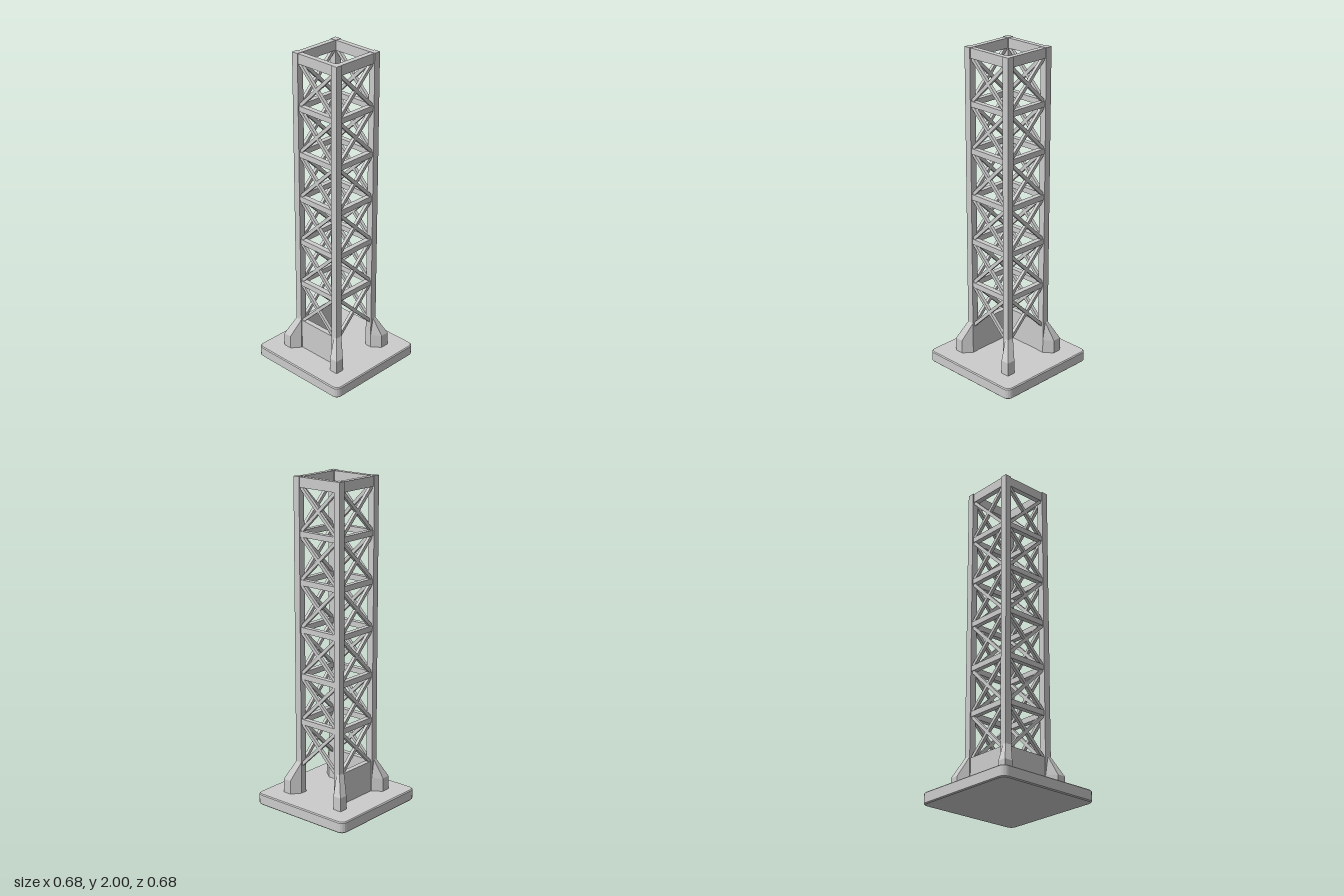
import * as THREE from 'three';

const material = new THREE.MeshStandardMaterial({ color: 0xcccccc, flatShading: true });

function add(parent, geometry, name, x = 0, y = 0, z = 0) {
  const mesh = new THREE.Mesh(geometry, material);
  mesh.name = name;
  mesh.position.set(x, y, z);
  parent.add(mesh);
  return mesh;
}

// Square plate with clipped corners and a fine bevelled rim
function basePlate() {
  const bevel = 0.006, h = 0.342 - bevel, r = 0.032;
  const shape = new THREE.Shape();
  shape.absarc(h - r, h - r, r, 0, Math.PI / 2);
  shape.absarc(r - h, h - r, r, Math.PI / 2, Math.PI);
  shape.absarc(r - h, r - h, r, Math.PI, Math.PI * 1.5);
  shape.absarc(h - r, r - h, r, Math.PI * 1.5, Math.PI * 2);
  return new THREE.ExtrudeGeometry(shape, {
    depth: 0.07 - 2 * bevel, curveSegments: 2,
    bevelEnabled: true, bevelSize: bevel, bevelThickness: bevel, bevelSegments: 1,
  }).rotateX(-Math.PI / 2).translate(0, bevel, 0);
}

// Corner foot: a straight hexagonal fin that tapers up into the leg
function footGeometry() {
  const wide = [[0.13, 0.13], [0.13, 0.172], [0.172, 0.226], [0.226, 0.226], [0.226, 0.172], [0.172, 0.13]];
  const narrow = [[0.13, 0.13], [0.13, 0.172], [0.15, 0.172], [0.172, 0.172], [0.172, 0.15], [0.172, 0.13]];
  const rings = [[0.065, wide], [0.155, wide], [0.27, narrow]];
  const positions = [], index = [], n = wide.length;
  for (const [y, ring] of rings) for (const [x, z] of ring) positions.push(x, y, z);
  for (let k = 0; k < rings.length - 1; k++) {
    for (let i = 0; i < n; i++) {
      const a = k * n + i, b = k * n + (i + 1) % n;
      index.push(a, b, b + n, a, b + n, a + n);
    }
  }
  const top = (rings.length - 1) * n;
  for (let i = 1; i < n - 1; i++) {
    index.push(0, i + 1, i);
    index.push(top, top + i, top + i + 1);
  }
  const geometry = new THREE.BufferGeometry();
  geometry.setAttribute('position', new THREE.Float32BufferAttribute(positions, 3));
  geometry.setIndex(index);
  const flat = geometry.toNonIndexed();
  flat.computeVertexNormals();
  return flat;
}

// One lattice side, built facing +z
function latticeSide(name) {
  const side = new THREE.Group();
  side.name = name;
  const firstRail = 0.53, pitch = 0.285, railHeight = 0.034, inset = 0.15;
  add(side, new THREE.BoxGeometry(0.28, 0.06, 0.033), 'topRail', 0, 1.968, inset);
  const rail = new THREE.BoxGeometry(0.28, railHeight, 0.032);
  for (let i = 0; i < 5; i++) add(side, rail, 'rail', 0, firstRail + i * pitch, inset);

  // Crossed diagonals in each bay
  const halfWidth = 0.133, halfHeight = 0.13;
  const length = 2 * Math.hypot(halfWidth, halfHeight) + 0.01;
  const brace = new THREE.BoxGeometry(length, 0.02, 0.02);
  for (let i = 0; i < 6; i++) {
    for (const s of [-1, 1]) {
      const bar = add(side, brace, 'crossBrace', 0, firstRail - pitch / 2 + i * pitch, inset);
      bar.rotation.z = s * Math.atan2(halfHeight, halfWidth);
    }
  }
  return side;
}

export function createModel() {
  const model = new THREE.Group();
  model.name = 'latticeTower';
  add(model, basePlate(), 'basePlate');

  // Four corner legs with feet, and four lattice sides
  const leg = new THREE.BoxGeometry(0.042, 1.94, 0.042);
  const foot = footGeometry();
  const names = ['frontSide', 'leftSide', 'backSide', 'rightSide'];
  names.forEach((name, i) => {
    const corner = new THREE.Group();
    corner.name = 'corner';
    add(corner, leg, 'leg', 0.151, 1.03, 0.151);
    add(corner, foot, 'foot');
    corner.rotation.y = i * Math.PI / 2;
    model.add(corner);

    const side = latticeSide(name);
    side.rotation.y = i * Math.PI / 2;
    model.add(side);
  });

  // Low walls close two neighbouring sides; the other two stay open
  add(model, new THREE.BoxGeometry(0.28, 0.2, 0.032), 'backWall', 0, 0.165, -0.15);
  add(model, new THREE.BoxGeometry(0.032, 0.2, 0.28), 'rightWall', -0.15, 0.165, 0);
  return model;
}
